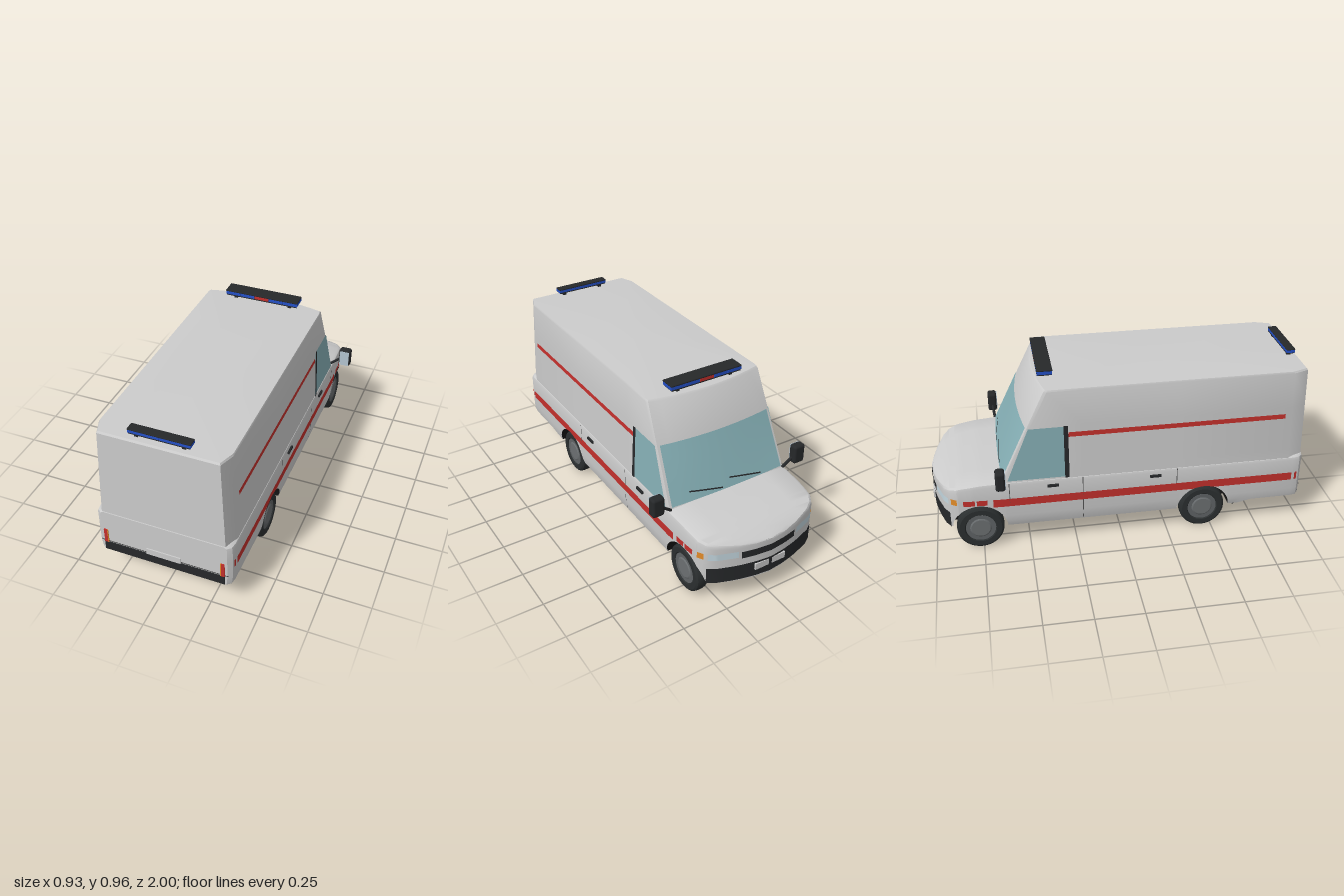
import * as THREE from 'three';
import { toCreasedNormals } from 'three/addons/utils/BufferGeometryUtils.js';
import { RoundedBoxGeometry } from 'three/addons/geometries/RoundedBoxGeometry.js';

const GREY = 0xcccccc, RED = 0xc4302c, BLACK = 0x26282a, GLASS = 0x86b0b6, BLUE = 0x2450c8;
const WHEELS = [0.445, -0.76], ARCH = 0.145, AXLE = 0.125;
const lerp = THREE.MathUtils.lerp;

// piecewise linear lookup, keys ascending
function look(table, t) {
  if (t <= table[0][0]) return table[0][1];
  for (let i = 1; i < table.length; i++) {
    const [a, p] = table[i - 1], [b, q] = table[i];
    if (t <= b) return lerp(p, q, (t - a) / (b - a));
  }
  return table[table.length - 1][1];
}

// plan outline, roofline of the lower body and sill line, all along z
const PLAN = [[-1, 0], [-0.99, 0.09], [-0.97, 0.18], [-0.935, 0.28], [-0.905, 0.325], [-0.87, 0.347], [-0.8, 0.355], [-0.64, 0.362], [0.94, 0.362], [0.975, 0.356], [0.993, 0.335]];
const TOP = [[-1, 0.33], [-0.97, 0.345], [-0.92, 0.367], [-0.85, 0.386], [-0.75, 0.4], [-0.64, 0.406], [1, 0.404]];
const SILL = [[-1, 0.125], [-0.9, 0.13], [0.65, 0.13], [0.72, 0.15], [1, 0.15]];
const NOSE = PLAN.slice(0, 6).map(([z, x]) => [x, z]);

function bottomY(z) {
  let y = look(SILL, z);
  for (const c of WHEELS) {
    const d = Math.abs(z - c);
    if (d < ARCH) y = Math.max(y, AXLE + Math.sqrt(ARCH * ARCH - d * d));
  }
  return y;
}
const tuck = (y) => 1 - 0.035 * Math.pow(Math.max(0, (0.2 - y) / 0.07), 2);
const lowerX = (z, y) => look(PLAN, z) * tuck(y);
const upperX = (y) => lerp(0.356, 0.333, (y - 0.39) / 0.515);
const frontZ = (x, y) => {
  const t = (y - 0.41) / 0.49;
  return lerp(-0.64, -0.44, t) + lerp(0.01, 0.045, t) * Math.pow(x / upperX(y), 2);
};

const mat = (color) => new THREE.MeshStandardMaterial({ color, side: THREE.DoubleSide });
const mirrored = (half) => [...half, ...half.slice(0, -1).reverse().map(([x, y, z]) => [-x, y, z])];

// skin between cross-sections with equal point counts
function loft(sections) {
  const n = sections[0].length, index = [];
  for (let i = 0; i < sections.length - 1; i++) {
    for (let j = 0; j < n - 1; j++) {
      const a = i * n + j, b = a + n;
      index.push(a, b, a + 1, b, b + 1, a + 1);
    }
  }
  const g = new THREE.BufferGeometry();
  g.setAttribute('position', new THREE.Float32BufferAttribute(sections.flat(2), 3));
  g.setIndex(index);
  return toCreasedNormals(g, 0.5);
}

export function createModel() {
  const model = new THREE.Group();
  const add = (name, geo, color, x = 0, y = 0, z = 0) => {
    const m = new THREE.Mesh(geo, mat(color));
    m.name = name;
    m.position.set(x, y, z);
    model.add(m);
    return m;
  };
  const box = (name, color, w, h, d, x, y, z) => add(name, new THREE.BoxGeometry(w, h, d), color, x, y, z);
  // thin panel laid over a surface: fn(u, v) gives the point
  const patch = (name, color, nu, nv, fn) => {
    const g = new THREE.PlaneGeometry(1, 1, nu, nv), p = g.attributes.position;
    for (let i = 0; i < p.count; i++) p.setXYZ(i, ...fn(p.getX(i) + 0.5, p.getY(i) + 0.5));
    g.computeVertexNormals();
    return add(name, g, color);
  };

  // stations along the body, dense at the wheel arches
  const stations = PLAN.map(([z]) => z).concat(-0.7, -0.3, 0.1, 0.65, 0.72);
  for (const c of WHEELS) for (let i = 0; i <= 20; i++) stations.push(c + ARCH * Math.cos(Math.PI * i / 20));
  stations.sort((a, b) => a - b);

  // lower body with bonnet and wheel arches
  const lowerSection = (z, w) => {
    const b = bottomY(z), t = look(TOP, z), crown = z < -0.63 ? 0.008 : 0;
    return mirrored([
      [w * tuck(b), b, z], [w * tuck(Math.max(b, 0.165)), Math.max(b, 0.165), z], [w, Math.max(b, 0.2), z], [w, 0.3, z],
      [w, t - 0.022, z], [w * 0.988, t - 0.008, z], [w * 0.95, t, z], [w * 0.6, t + crown * 0.7, z], [0, t + crown, z]]);
  };
  const lower = stations.map((z) => lowerSection(z, look(PLAN, z)));
  lower.push(lowerSection(0.993, 0));
  add('lowerBody', loft(lower), GREY);

  // floor and wheel wells
  add('underbody', loft(stations.map((z) => {
    const w = look(PLAN, z), b = bottomY(z), s = look(SILL, z) + 0.004, inner = Math.min(0.26, w * 0.8);
    return mirrored([[w * tuck(b), b + 0.002, z], [inner, b + 0.002, z], [inner, s, z], [0, s, z]]);
  })), 0x161616);

  // tall upper body, horizontal sections from shoulder to roof
  const ring = (y, k = 1, yy = y) => {
    const w = upperX(y), back = lerp(0.988, 0.982, (y - 0.39) / 0.5);
    const half = [[0, back], [w - 0.03, back], [w, back - 0.08], [w, 0.3], [w, -0.2], [w, frontZ(w, y) + 0.015]];
    for (const f of [0.985, 0.8, 0.6, 0.4, 0.2, 0]) half.push([w * f, frontZ(w * f, y)]);
    return mirrored(half.map(([x, z]) => [x * k, yy, 0.28 + (z - 0.28) * k]));
  };
  add('upperBody', loft([ring(0.39), ring(0.45), ring(0.7), ring(0.895), ring(0.9, 0.99, 0.904), ring(0.9, 0.5, 0.912), ring(0.9, 0, 0.914)]), GREY);

  // windscreen and wipers
  patch('windscreen', GLASS, 12, 4, (u, v) => {
    const y = lerp(0.415, 0.7, v), x = (u * 2 - 1) * (upperX(y) - 0.018);
    return [x, y, frontZ(x, y) - 0.004];
  });
  for (const x0 of [-0.2, 0.04]) {
    patch('wiper', BLACK, 4, 1, (u, v) => {
      const x = x0 + 0.19 * u, y = 0.425 + 0.035 * u + 0.007 * v;
      return [x, y, frontZ(x, y) - 0.009];
    });
  }

  const sideStrip = (name, color, s, z0, z1, y0, y1) => patch(name, color, Math.max(1, Math.ceil(Math.abs(z1 - z0) * 40)), 3, (u, v) => {
    const z = lerp(z0, z1, u), y = lerp(Math.max(y0, y0 < 0.25 ? y0 : bottomY(z)), y1, v);
    return [s * (lowerX(z, y) + 0.003), y, z];
  });
  const upperStrip = (name, color, s, fn, off = 0.003) => patch(name, color, 1, 1, (u, v) => {
    const [z, y] = fn(u, v);
    return [s * (upperX(y) + off), y, z];
  });

  for (const s of [-1, 1]) {
    // door glass with dark rear pillar
    upperStrip('sideWindow', GLASS, s, (u, v) => [lerp(-0.29, lerp(-0.605, -0.485, v), u), lerp(0.41, 0.7, v)]);
    upperStrip('doorPillar', BLACK, s, (u, v) => [lerp(-0.282, -0.305, u), lerp(0.405, 0.705, v)], 0.006);
    // red stripes
    upperStrip('upperStripe', RED, s, (u, v) => [lerp(0.87, -0.28, u), lerp(0.64, 0.666, v)]);
    for (const [a, b] of [[0.965, 0.952], [0.935, -0.685], [-0.715, -0.77], [-0.78, -0.84]]) sideStrip('lowerStripe', RED, s, a, b, a < -0.7 ? 0.275 : 0.26, 0.306);
    // door seams, handles and front indicators
    for (const z of [0.29, -0.215, -0.6]) sideStrip('doorSeam', 0x555555, s, z, z + 0.004, z === -0.215 ? 0.14 : 0.28, 0.4);
    for (const z of [0.175, -0.37]) box('doorHandle', BLACK, 0.014, 0.013, 0.06, s * 0.365, 0.366, z);
    sideStrip('indicator', 0xe08a28, s, -0.872, -0.902, 0.28, 0.315);

    // door mirrors
    add('mirrorHousing', new RoundedBoxGeometry(0.068, 0.107, 0.05, 3, 0.014), BLACK, s * 0.432, 0.472, -0.643);
    box('mirrorGlass', 0xb4c4d0, 0.054, 0.092, 0.004, s * 0.432, 0.472, -0.617);
    const arm = new THREE.LineCurve3(new THREE.Vector3(s * 0.345, 0.405, -0.635), new THREE.Vector3(s * 0.41, 0.458, -0.643));
    add('mirrorArm', new THREE.TubeGeometry(arm, 1, 0.008, 8), BLACK);

    // tail lamps
    box('tailLamp', RED, 0.018, 0.085, 0.01, s * 0.313, 0.248, 0.993);
    box('tailIndicator', 0xe08a28, 0.004, 0.085, 0.01, s * 0.302, 0.248, 0.993);

    // wheels
    for (const z of WHEELS) {
      const wheel = new THREE.Group();
      wheel.name = 'wheel';
      const profile = [[0.08, -0.028], [0.085, -0.034], [0.112, -0.034], [0.122, -0.027], [0.125, -0.015], [0.125, 0.015], [0.122, 0.027], [0.112, 0.034], [0.085, 0.034], [0.08, 0.028]];
      const tyre = new THREE.Mesh(toCreasedNormals(new THREE.LatheGeometry(profile.map(([r, h]) => new THREE.Vector2(r, h)), 36), 0.6), mat(0x2b2f30));
      tyre.name = 'tyre';
      const rim = new THREE.Mesh(new THREE.CylinderGeometry(0.08, 0.081, 0.045, 32), mat(0x606466));
      rim.name = 'rim';
      rim.position.y = 0.006;
      const hub = new THREE.Mesh(new THREE.CylinderGeometry(0.05, 0.06, 0.006, 24), mat(0x6c7072));
      hub.name = 'hub';
      hub.position.y = 0.03;
      wheel.add(tyre, rim, hub);
      wheel.rotation.z = -s * Math.PI / 2;
      wheel.position.set(s * 0.315, AXLE, z);
      model.add(wheel);
    }
  }

  // nose details wrapped round the front
  const noseBand = (name, color, x0, x1, y0, y1, off = 0.004) => patch(name, color, 16, 1, (u, v) => {
    const x = lerp(x0, x1, u);
    return [x, lerp(y0, y1, v), look(NOSE, Math.abs(x)) - off];
  });
  noseBand('frontBumper', BLACK, -0.32, 0.32, 0.135, 0.225);
  noseBand('grille', BLACK, -0.16, 0.16, 0.265, 0.305);
  for (const s of [-1, 1]) noseBand('headlamp', 0xc3d6de, s * 0.175, s * 0.315, 0.275, 0.312);
  box('frontPlate', 0xc8c8c8, 0.18, 0.036, 0.02, 0, 0.195, -0.993);

  // rear bumper, plate and seam
  box('rearBumper', BLACK, 0.645, 0.052, 0.014, 0, 0.18, 0.991);
  box('rearSeam', 0x444444, 0.68, 0.004, 0.006, 0, 0.212, 0.991);
  box('rearPlate', 0xc8c8c8, 0.184, 0.036, 0.01, 0, 0.223, 0.994);
  for (const s of [-1, 1]) box('mudFlap', BLACK, 0.08, 0.03, 0.01, s * 0.305, 0.138, 0.62);

  // roof light bars: dark cover and base with coloured lenses between
  const lightBar = (half, y, z, depth, h, lenses) => {
    add('lightBarCover', new RoundedBoxGeometry(half * 2, h * 0.3, depth, 2, 0.004), BLACK, 0, y + h * 0.4, z);
    box('lightBarBase', BLACK, half * 2 - 0.01, h * 0.2, depth - 0.004, 0, y - h * 0.4, z);
    const w = half * 2 / lenses.length;
    lenses.forEach((c, i) => box('lightBarLens', c, w - 0.003, h * 0.6, depth - 0.004, -half + w * (i + 0.5), y, z));
    for (const s of [-1, 1]) box('lightBarFoot', BLACK, 0.018, 0.03, depth * 0.5, s * half * 0.75, y - h * 0.5 - 0.008, z);
  };
  lightBar(0.21, 0.94, -0.378, 0.082, 0.03, [BLUE, BLUE, RED, BLUE, BLUE]);
  lightBar(0.157, 0.935, 0.938, 0.048, 0.026, [BLUE, BLUE]);
  return model;
}
